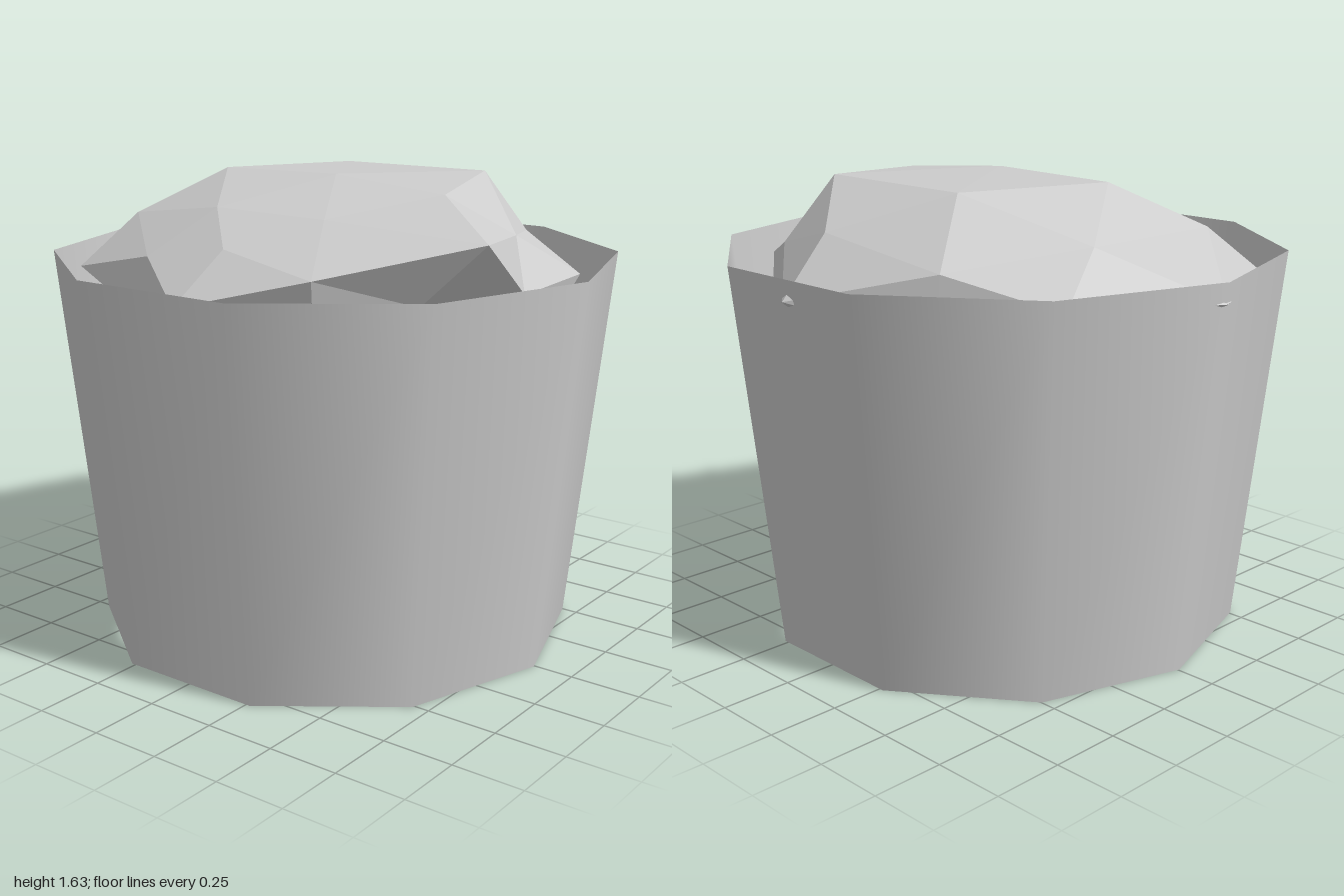
import * as THREE from 'three';

// Radial scale of each rock corner, by family of directions:
// [|x|, y, |z|] then scales for (+x+z, +x-z, -x+z, -x-z)
const FAMILIES = [
  { dir: [0, 1, 0], scale: [0.83, 0.83, 0.83, 0.83] },
  { dir: [0.526, 0.851, 0], scale: [0.865, 0.865, 0.95, 0.95] },
  { dir: [0.309, 0.809, 0.5], scale: [0.72, 0.99, 0.74, 0.98] },
  { dir: [0, 0.526, 0.851], scale: [0.71, 0.92, 0.71, 0.92] },
  { dir: [0.809, 0.5, 0.309], scale: [1.01, 0.74, 0.87, 0.83] },
  { dir: [0.5, 0.309, 0.809], scale: [0.865, 0.8, 0.72, 0.83] },
  { dir: [0.851, 0, 0.526], scale: [0.72, 0.86, 0.925, 0.875] },
  { dir: [1, 0, 0], scale: [0.77, 0.77, 1, 1] },
  { dir: [0, 0, 1], scale: [0.85, 0.96, 0.85, 0.96] },
  { dir: [0.5, -0.309, 0.809], scale: [0.8, 0.85, 0.77, 0.85] },
];

function cornerScale(v) {
  const a = new THREE.Vector3(Math.abs(v.x), v.y, Math.abs(v.z));
  const family = FAMILIES.find((f) => a.distanceTo(new THREE.Vector3(...f.dir)) < 0.05);
  if (!family) return 0.87; // hidden underside
  return family.scale[(v.x < -0.01 ? 2 : 0) + (v.z < -0.01 ? 1 : 0)];
}

// Faceted, flattened lump
function rockGeometry() {
  const geometry = new THREE.IcosahedronGeometry(1, 1);
  const pos = geometry.attributes.position;
  const v = new THREE.Vector3();
  for (let i = 0; i < pos.count; i++) {
    v.fromBufferAttribute(pos, i);
    v.multiplyScalar(cornerScale(v));
    pos.setXYZ(i, v.x, v.y * 0.41, v.z);
  }
  geometry.computeVertexNormals();
  return geometry;
}

export function createModel() {
  const group = new THREE.Group();
  group.name = 'tubWithRock';

  const wallGray = new THREE.MeshStandardMaterial({ color: 0xcccccc, side: THREE.DoubleSide });
  wallGray.name = 'light gray';

  // Tapered tub wall, open at both ends
  const wall = new THREE.Mesh(
    new THREE.CylinderGeometry(1, 0.857, 1.36, 10, 1, true, Math.PI / 2), wallGray);
  wall.name = 'tubWall';
  wall.position.set(0, 0.68, 0.005);

  // Rock filling the mouth of the tub
  const rock = new THREE.Mesh(rockGeometry(), wallGray);
  rock.name = 'rock';
  rock.position.set(0, 1.29, 0);

  group.add(wall, rock);
  return group;
}
